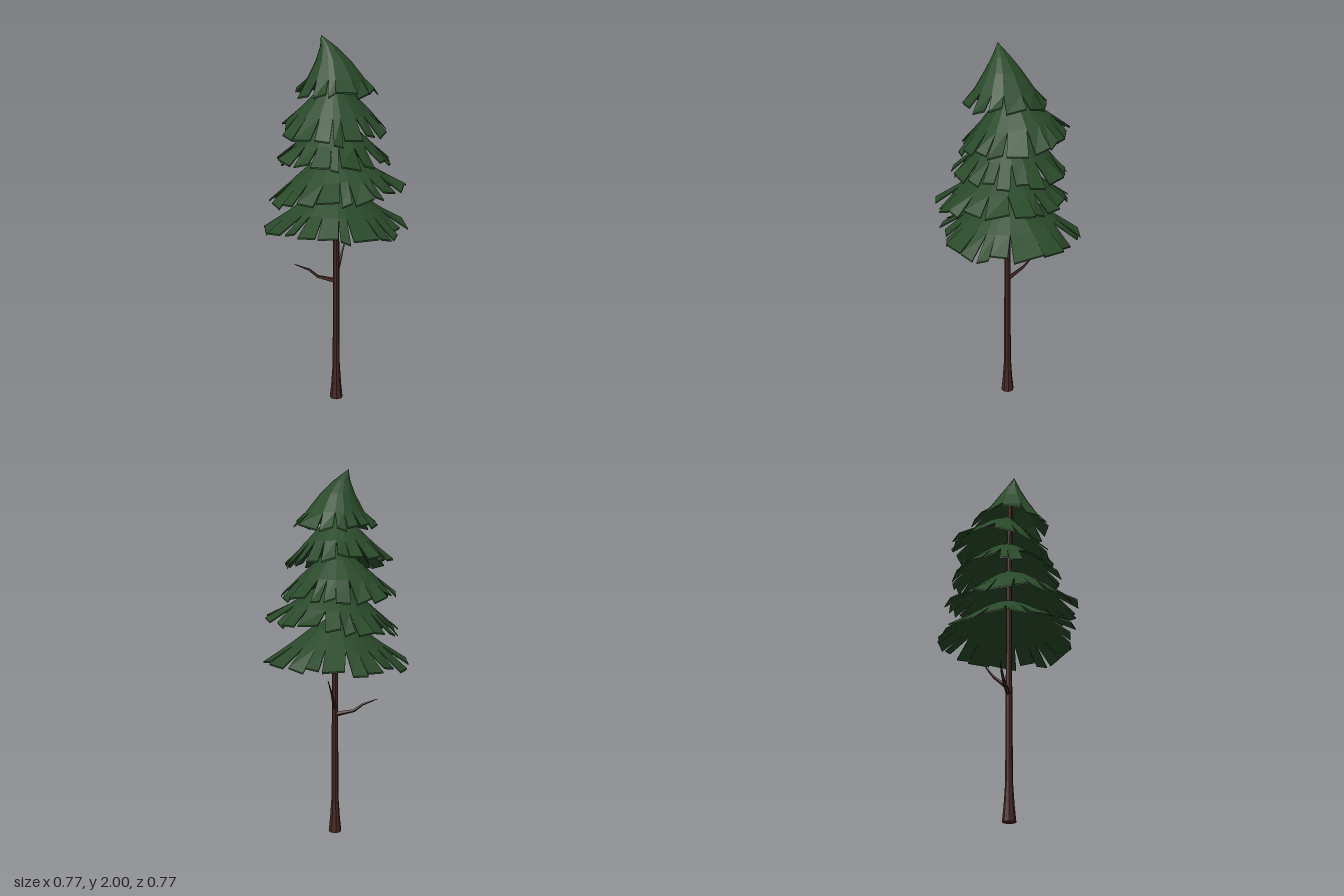
import * as THREE from 'three';

const bark = new THREE.MeshStandardMaterial({ color: 0x442723, flatShading: true });
const needles = new THREE.MeshStandardMaterial({ color: 0x294929, flatShading: true });

// Small seeded random generator
let seed = 11;
function rand(min, max) {
  seed = (seed * 16807) % 2147483647;
  return min + (max - min) * (seed / 2147483647);
}

// Tapered limb: a cylinder whose rings are moved onto the path; each node is [x, y, z, radius]
function limb(name, nodes, sides) {
  const n = nodes.length - 1;
  const geo = new THREE.CylinderGeometry(1, 1, 1, sides, n);
  const pos = geo.attributes.position;
  const at = (i) => new THREE.Vector3(...nodes[Math.min(n, Math.max(0, i))].slice(0, 3));
  const up = new THREE.Vector3(0, 1, 0);
  const turns = nodes.map((_, i) =>
    new THREE.Quaternion().setFromUnitVectors(up, at(i + 1).sub(at(i - 1)).normalize()));
  const v = new THREE.Vector3();
  for (let i = 0; i < pos.count; i++) {
    const k = Math.round((pos.getY(i) + 0.5) * n);
    v.set(pos.getX(i), 0, pos.getZ(i)).multiplyScalar(nodes[k][3]);
    v.applyQuaternion(turns[k]).add(at(k));
    pos.setXYZ(i, v.x, v.y, v.z);
  }
  geo.computeVertexNormals();
  const mesh = new THREE.Mesh(geo, bark);
  mesh.name = name;
  return mesh;
}

// Domed profile of a tier from apex to rim: share of radius and share of drop
const DOME = [[0, 0], [0.33, 0.26], [0.66, 0.62]];
const CAP = [[0, 0], [0.2, 0.2], [0.42, 0.43], [0.7, 0.74]];
const THICK = 0.008;

// One tier: a dome whose rim is split into uneven square-ended tabs
function tier({ apex, rim, radius, tabs, tilt = [0, 0], sag = 0, profile = DOME }) {
  const verts = [];
  const quad = (a, b, c, d) => [a, b, c, a, c, d].forEach((p) => verts.push(p.x, p.y, p.z));
  const below = (p) => new THREE.Vector3(p.x, p.y - THICK, p.z);

  // The axis bends near the apex, so an off-centre tip curls over
  const point = (angle, r, drop) => {
    const c = Math.cos(angle), s = Math.sin(angle);
    const rimY = rim[1] + tilt[0] * c + tilt[1] * s - sag * Math.cos(2 * angle);
    const bend = 1 - Math.pow(1 - Math.min(r, 1), 3);
    return new THREE.Vector3(
      THREE.MathUtils.lerp(apex[0], rim[0], bend) + c * radius * r,
      THREE.MathUtils.lerp(apex[1], rimY, drop),
      THREE.MathUtils.lerp(apex[2], rim[2], bend) + s * radius * r);
  };

  // Uneven tab widths that add up to a full turn
  const widths = Array.from({ length: tabs }, () => rand(0.5, 1.5));
  const total = widths.reduce((a, b) => a + b, 0);
  const last = profile.length - 1, tip = last + 1;
  let angle = rand(0, 1);
  for (const w of widths) {
    const a0 = angle, a1 = angle + (w / total) * Math.PI * 2;
    angle = a1;
    const left = profile.map(([r, d]) => point(a0, r, d));
    const right = profile.map(([r, d]) => point(a1, r, d));

    // Tab end: narrowed, slightly swung, twisted and cut to its own length
    const inset = (a1 - a0) * rand(0.02, 0.14);
    const swing = rand(-0.03, 0.03), twist = rand(-0.014, 0.014);
    const reach = rand(0.92, 1.03), end = rand(0.92, 1.04);
    left.push(point(a0 + inset + swing, reach, end));
    right.push(point(a1 - inset + swing, reach + rand(-0.03, 0.03), end));
    left[tip].y += twist;
    right[tip].y -= twist;

    for (let i = 0; i < tip; i++) {
      quad(left[i], right[i], right[i + 1], left[i + 1]);
      quad(below(left[i]), below(left[i + 1]), below(right[i + 1]), below(right[i]));
    }
    // Cut edges of the tab
    quad(left[last], left[tip], below(left[tip]), below(left[last]));
    quad(right[tip], right[last], below(right[last]), below(right[tip]));
    quad(left[tip], right[tip], below(right[tip]), below(left[tip]));
  }
  const geo = new THREE.BufferGeometry();
  geo.setAttribute('position', new THREE.Float32BufferAttribute(verts, 3));
  geo.computeVertexNormals();
  return new THREE.Mesh(geo, needles);
}

export function createModel() {
  seed = 11;
  const tree = new THREE.Group();
  tree.name = 'pineTree';

  // Trunk with a flared foot
  tree.add(limb('trunk', [
    [0.013, 0, 0, 0.036], [0.013, 0.08, 0, 0.028], [0.013, 0.2, 0, 0.02],
    [0.013, 1, 0, 0.016], [0.006, 1.5, 0.012, 0.016], [-0.004, 1.87, 0.03, 0.012],
  ], 8));

  // Two bare dead branches
  tree.add(limb('lowerBranch', [
    [0.01, 0.68, 0, 0.015], [-0.075, 0.7, 0.055, 0.009],
    [-0.115, 0.735, 0.08, 0.007], [-0.18, 0.765, 0.13, 0.002],
  ], 5));
  tree.add(limb('upperBranch', [
    [0.01, 0.71, 0, 0.012], [-0.025, 0.785, -0.075, 0.008],
    [-0.035, 0.82, -0.1, 0.006], [-0.05, 0.9, -0.155, 0.002],
  ], 5));

  // Foliage tiers from bottom to top
  const foliage = new THREE.Group();
  foliage.name = 'foliage';
  [
    { apex: [0.01, 1.235, 0], rim: [0, 0.98, -0.01], radius: 0.38, tabs: 20, sag: 0.015 },
    { apex: [0.01, 1.425, 0.01], rim: [0.035, 1.175, 0.015], radius: 0.362, tabs: 21, tilt: [0.02, -0.025] },
    { apex: [0.005, 1.6, 0], rim: [-0.01, 1.34, -0.005], radius: 0.31, tabs: 20 },
    { apex: [0, 1.775, 0.01], rim: [-0.02, 1.51, -0.022], radius: 0.287, tabs: 18, tilt: [-0.035, -0.03] },
    { apex: [-0.02, 2, 0.08], rim: [0.02, 1.7, 0.01], radius: 0.222, tabs: 14, profile: CAP },
  ].forEach((spec, i) => {
    const mesh = tier(spec);
    mesh.name = `foliageTier${i + 1}`;
    foliage.add(mesh);
  });
  tree.add(foliage);
  return tree;
}
